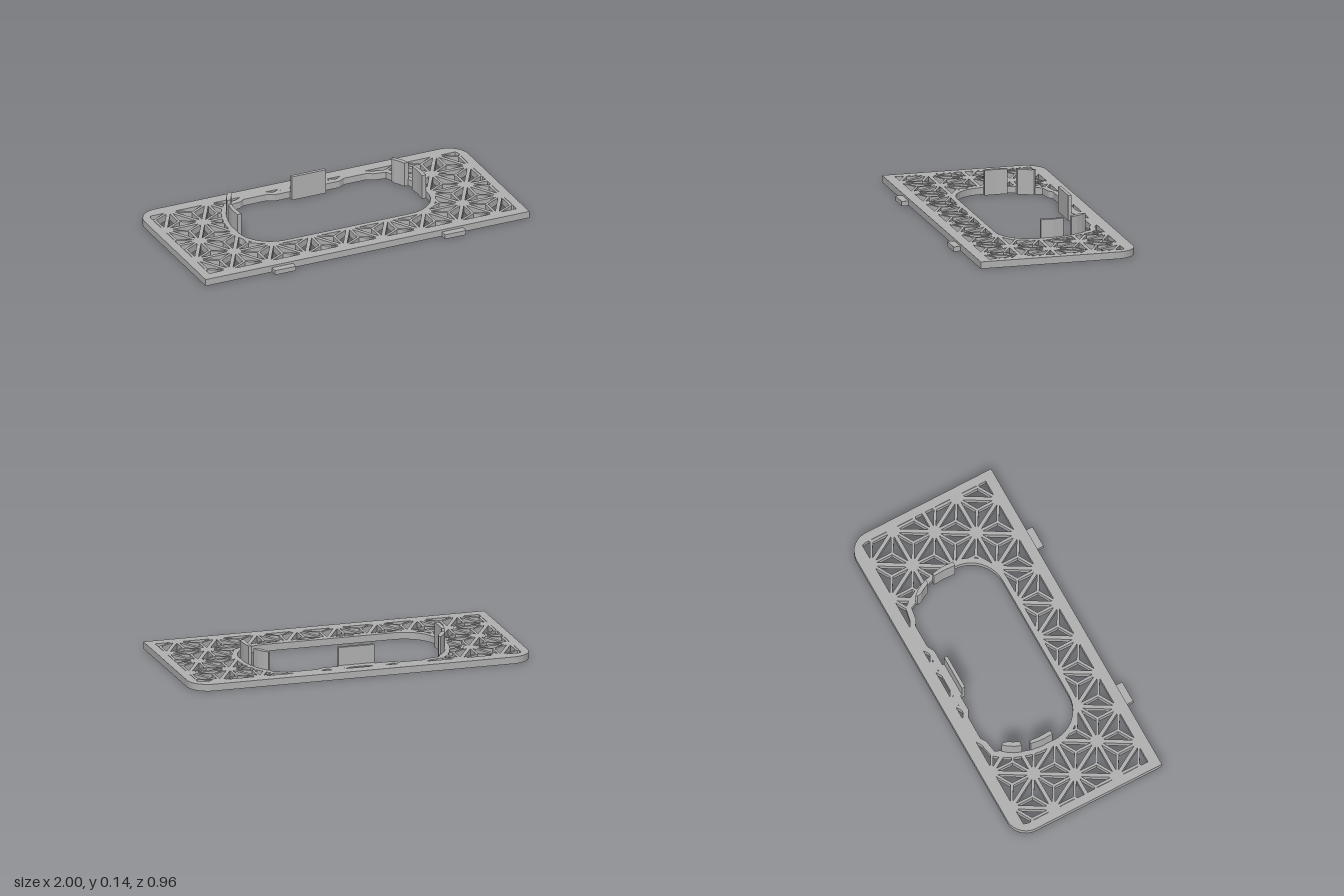
import * as THREE from 'three';
import { mergeGeometries } from 'three/addons/utils/BufferGeometryUtils.js';

const T = 0.04;        // plate thickness
const CLIP_TOP = 0.145;

// closed outline, symmetric in x, from its +x half listed front to back as [x, z]
const mirrored = half => [...half, ...half.map(([x, z]) => [-x, z]).reverse()]
  .map(([x, z]) => new THREE.Vector2(x, -z));

// upright extrusion of a plan outline from y = 0
function slab(points, height, hole) {
  const shape = new THREE.Shape(points);
  if (hole) shape.holes.push(new THREE.Path(hole));
  return new THREE.ExtrudeGeometry(shape, { depth: height, bevelEnabled: false, curveSegments: 12 })
    .rotateX(-Math.PI / 2);
}

// quarter arc in plan
function arc(cx, cz, r, from, to, n = 10) {
  return Array.from({ length: n + 1 }, (_, i) => {
    const a = from + (to - from) * i / n;
    return [cx + r * Math.cos(a), cz + r * Math.sin(a)];
  });
}

function inside(p, poly) {
  let hit = false;
  for (let i = 0, j = poly.length - 1; i < poly.length; j = i++) {
    const a = poly[i], b = poly[j];
    if ((a.y > p.y) !== (b.y > p.y) && p.x < (b.x - a.x) * (p.y - a.y) / (b.y - a.y) + a.x) hit = !hit;
  }
  return hit;
}

export function createModel() {
  const group = new THREE.Group();
  const grey = new THREE.MeshStandardMaterial({ color: 0xb0b0b0 });
  grey.name = 'plain grey';
  const add = (geometry, name) => {
    const mesh = new THREE.Mesh(geometry, grey);
    mesh.name = name;
    group.add(mesh);
  };

  // outer border, rounded at the back corners only
  const border = mirrored([[1, 0.44], ...arc(0.88, -0.36, 0.12, 0, -Math.PI / 2)]);
  const window_ = mirrored([[0.95, 0.38], ...arc(0.91, -0.385, 0.04, 0, -Math.PI / 2, 5)]);
  add(slab(border, T, window_), 'outerBorder');

  // rim around the opening
  const ringIn = mirrored([...arc(0.385, -0.02, 0.2, Math.PI / 2, 0),
    [0.582, -0.12], [0.573, -0.17], [0.555, -0.22], [0.53, -0.27], [0.5, -0.31], [0.485, -0.345],
    [0.41, -0.357], [0.38, -0.377], [0.24, -0.377], [0.2, -0.355]]);
  const ringOut = mirrored([...arc(0.385, -0.02, 0.23, Math.PI / 2, 0),
    [0.61, -0.12], [0.602, -0.17], [0.588, -0.22], [0.565, -0.28], [0.54, -0.325], [0.5, -0.375],
    [0.41, -0.392], [0.375, -0.412], [0.235, -0.412], [0.2, -0.39]]);
  add(slab(ringOut, T, ringIn), 'openingRim');

  // hemp-leaf lattice: triangle edges plus spokes to each triangle's centre
  const ringMid = ringIn.map((p, i) => p.clone().add(ringOut[i]).multiplyScalar(0.5));
  const keep = p => Math.abs(p.x) < 0.96 && p.y > -0.395 && p.y < 0.435 && !inside(p, ringMid);
  const bars = [];
  function strut(a, b, width) {
    const steps = 60;
    let start = null;
    for (let i = 0; i <= steps + 1; i++) {
      const ok = i <= steps && keep(a.clone().lerp(b, i / steps));
      if (ok && start === null) start = i;
      if (!ok && start !== null) {
        const p = a.clone().lerp(b, start / steps), q = a.clone().lerp(b, (i - 1) / steps);
        const length = p.distanceTo(q);
        if (length > 0.005) {
          bars.push(new THREE.BoxGeometry(length, T, width)
            .rotateY(Math.atan2(q.y - p.y, q.x - p.x))
            .translate((p.x + q.x) / 2, T / 2, -(p.y + q.y) / 2));
        }
        start = null;
      }
    }
  }
  const side = 0.235, rowStep = 0.2025, rowZ = 0.187;
  const node = (row, k) => new THREE.Vector2(
    (k + (Math.abs(row) % 2) / 2) * side, -(rowZ + row * rowStep));
  for (let row = -3; row <= 1; row++) {
    const odd = Math.abs(row) % 2;
    for (let k = -5; k <= 5; k++) {
      const a = node(row, k), b = node(row, k + 1);
      strut(a, b, 0.022);
      // triangles behind and in front of this edge
      for (const next of [row - 1, row + 1]) {
        const c = node(next, k + odd);
        const centre = a.clone().add(b).add(c).divideScalar(3);
        if (next < row) { strut(a, c, 0.022); strut(b, c, 0.022); }
        for (const corner of [a, b, c]) strut(corner, centre, 0.015);
      }
    }
  }
  add(mergeGeometries(bars), 'leafLattice');

  // upright back clip
  add(new THREE.BoxGeometry(0.21, CLIP_TOP, 0.02).translate(0, CLIP_TOP / 2, -0.335), 'backClip');
  add(new THREE.BoxGeometry(0.21, T, 0.022).translate(0, T / 2, -0.349), 'backClipFoot');

  for (const s of [1, -1]) {
    const name = s > 0 ? 'left' : 'right';
    const plan = pts => {
      const v = pts.map(([x, z]) => new THREE.Vector2(s * x, -z));
      return v;
    };
    // upright side clip, slightly bowed
    add(slab(plan([[0.583, -0.03], [0.585, -0.1], [0.576, -0.163], [0.558, -0.163],
      [0.562, -0.1], [0.558, -0.03]]), CLIP_TOP), name + 'SideClip');
    // upright curved corner clip
    add(slab(plan([[0.562, -0.213], [0.548, -0.25], [0.527, -0.285], [0.505, -0.31],
      [0.497, -0.3], [0.502, -0.275], [0.52, -0.245], [0.535, -0.213]]), CLIP_TOP), name + 'CornerClip');
    // low locating tab on the front edge
    add(new THREE.BoxGeometry(0.13, 0.027, 0.05).translate(s * 0.525, 0.0135, 0.456), name + 'FrontTab');
  }
  return group;
}
